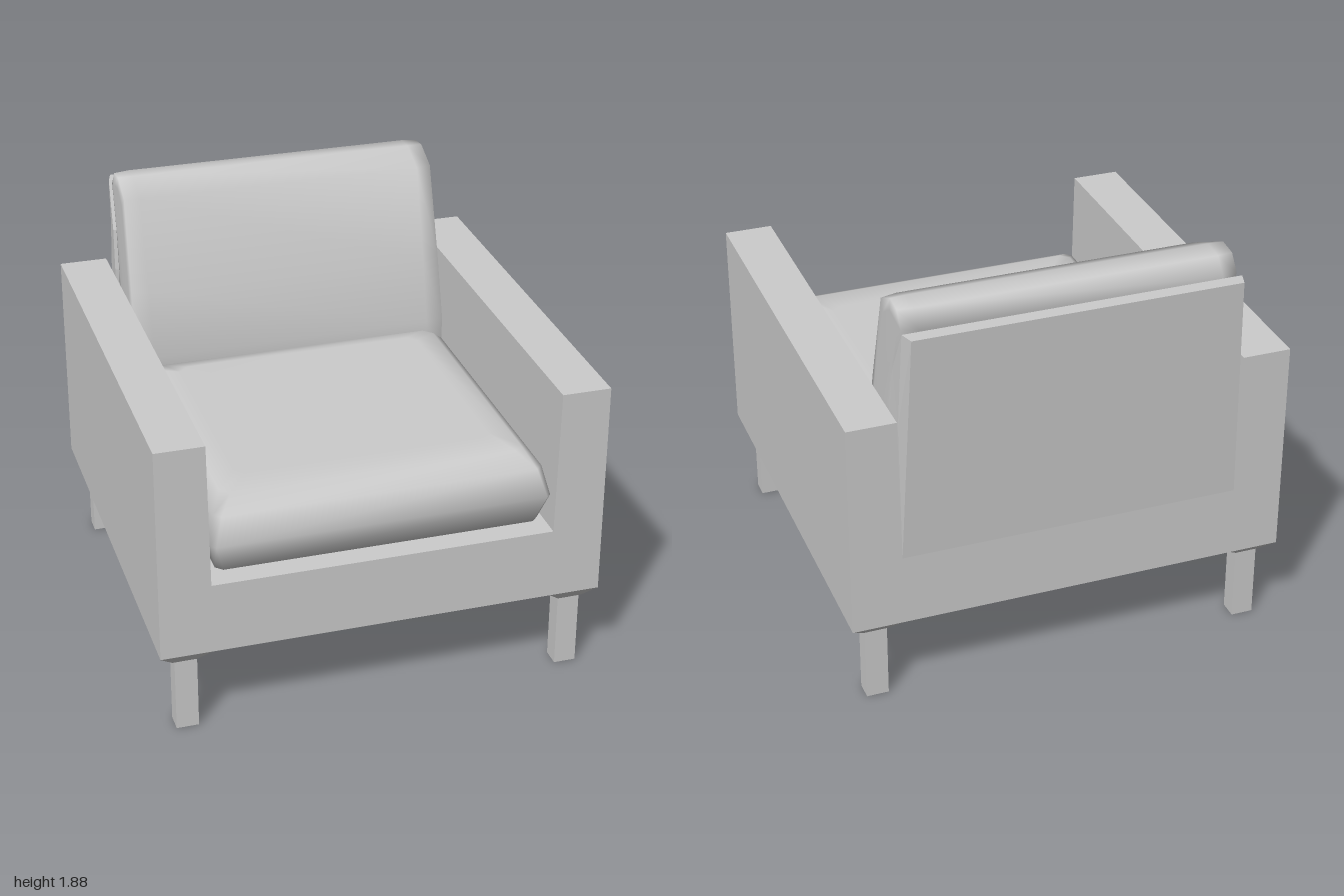
import * as THREE from 'three';

const material = new THREE.MeshStandardMaterial({ color: 0xcccccc });

function addMesh(parent, name, geometry) {
  const mesh = new THREE.Mesh(geometry, material);
  mesh.name = name;
  parent.add(mesh);
  return mesh;
}

// Skin a list of equal-length rings and close both ends with fans
function loft(rings, smooth = true) {
  const n = rings[0].length;
  const positions = rings.flat(2);
  const index = [];
  for (let r = 0; r < rings.length - 1; r++) {
    for (let i = 0; i < n; i++) {
      const j = (i + 1) % n;
      const a = r * n + i, b = r * n + j;
      index.push(a, b, b + n, a, b + n, a + n);
    }
  }
  const last = rings.length - 1;
  for (const r of [0, last]) {
    const centre = positions.length / 3;
    for (let k = 0; k < 3; k++) positions.push(rings[r].reduce((s, p) => s + p[k], 0) / n);
    for (let i = 0; i < n; i++) {
      const a = r * n + i, b = r * n + ((i + 1) % n);
      if (r === 0) index.push(centre, b, a);
      else index.push(centre, a, b);
    }
  }
  let geometry = new THREE.BufferGeometry();
  geometry.setAttribute('position', new THREE.Float32BufferAttribute(positions, 3));
  geometry.setIndex(index);
  if (!smooth) geometry = geometry.toNonIndexed();
  geometry.computeVertexNormals();
  return geometry;
}

// Horizontal rectangle with clipped corners
function rectRing(y, w, front, back, c) {
  return [
    [-w + c, y, front], [w - c, y, front], [w, y, front - c], [w, y, back + c],
    [w - c, y, back], [-w + c, y, back], [-w, y, back + c], [-w, y, front - c],
  ];
}

export function createModel() {
  const chair = new THREE.Group();
  chair.name = 'armchair';

  // Base and arms: one U-shaped block
  const outline = new THREE.Shape([
    [-1, 0.4], [1, 0.4], [1, 1.4], [0.78, 1.4], [0.77, 0.73],
    [-0.77, 0.73], [-0.78, 1.4], [-1, 1.4],
  ].map(([x, y]) => new THREE.Vector2(x, y)));
  const frame = new THREE.ExtrudeGeometry(outline, { depth: 1.94, bevelEnabled: false });
  frame.translate(0, 0, -0.94);
  addMesh(chair, 'baseAndArms', frame);

  // Leaning back panel, narrower at the top rear: [z, y, half width]
  const panel = [
    [-1, 1.8, 0.73], [-0.935, 1.8, 0.75], [-0.83, 1.59, 0.76],
    [-0.8, 1.4, 0.765], [-0.78, 0.73, 0.77], [-0.94, 0.73, 0.77],
  ];
  addMesh(chair, 'backPanel', loft([-1, 1].map((s) => panel.map(([z, y, w]) => [s * w, y, z])), false));

  // Seat cushion: [height, half width, front, back, corner]
  addMesh(chair, 'seatCushion', loft([
    [0.75, 0.66, 0.84, -0.36, 0.03],
    [0.755, 0.73, 0.93, -0.42, 0.03],
    [0.9, 0.76, 0.985, -0.44, 0.02],
    [1.02, 0.735, 0.94, -0.43, 0.03],
    [1.07, 0.68, 0.84, -0.4, 0.04],
    [1.075, 0.58, 0.7, -0.34, 0.04],
  ].map((ring) => rectRing(...ring))));

  // Back cushion: a side profile [z, y] swept across, slimmer at the ends
  const profile = [
    [-0.92, 1.8], [-0.86, 1.87], [-0.76, 1.88], [-0.62, 1.82], [-0.5, 1.4], [-0.43, 1.1],
    [-0.46, 0.85], [-0.52, 0.78], [-0.68, 0.78], [-0.78, 1.0], [-0.8, 1.4], [-0.84, 1.59],
  ];
  const stations = [[-0.745, 0.6], [-0.74, 0.88], [-0.67, 1], [0.67, 1], [0.74, 0.88], [0.745, 0.6]];
  addMesh(chair, 'backCushion', loft(stations.map(([x, s]) => profile.map(([z, y]) => {
    const midZ = -0.64 - (y - 1.35) * 0.25;
    const midY = 1.35;
    const sy = s < 0.8 ? 0.9 : 1 - (1 - s) * 0.03;
    const flare = Math.sign(x) * (Math.abs(x) > 0.7 ? (1.88 - y) * 0.02 : 0);
    return [x + flare, midY + (y - midY) * sy, midZ + (z - midZ) * s];
  }))));

  // Four square legs, each under a flared block
  for (const [end, z, depth] of [['front', 0.91, 0.18], ['back', -0.838, 0.204]]) {
    for (const [side, sx] of [['Left', 1], ['Right', -1]]) {
      const leg = new THREE.Group();
      leg.name = `${end}${side}Leg`;
      leg.position.set(sx * 0.885, 0, z);
      addMesh(leg, 'post', new THREE.BoxGeometry(0.1, 0.35, 0.085)).position.set(-sx * 0.005, 0.175, 0);
      const flare = new THREE.BoxGeometry(0.23, 0.055, depth);
      const p = flare.attributes.position;
      for (let i = 0; i < p.count; i++) {
        if (p.getY(i) < 0) {
          p.setX(i, Math.sign(p.getX(i)) * 0.055);
          p.setZ(i, Math.sign(p.getZ(i)) * 0.045);
        }
      }
      const flat = flare.toNonIndexed();
      flat.computeVertexNormals();
      addMesh(leg, 'flare', flat).position.y = 0.3725;
      chair.add(leg);
    }
  }
  return chair;
}
